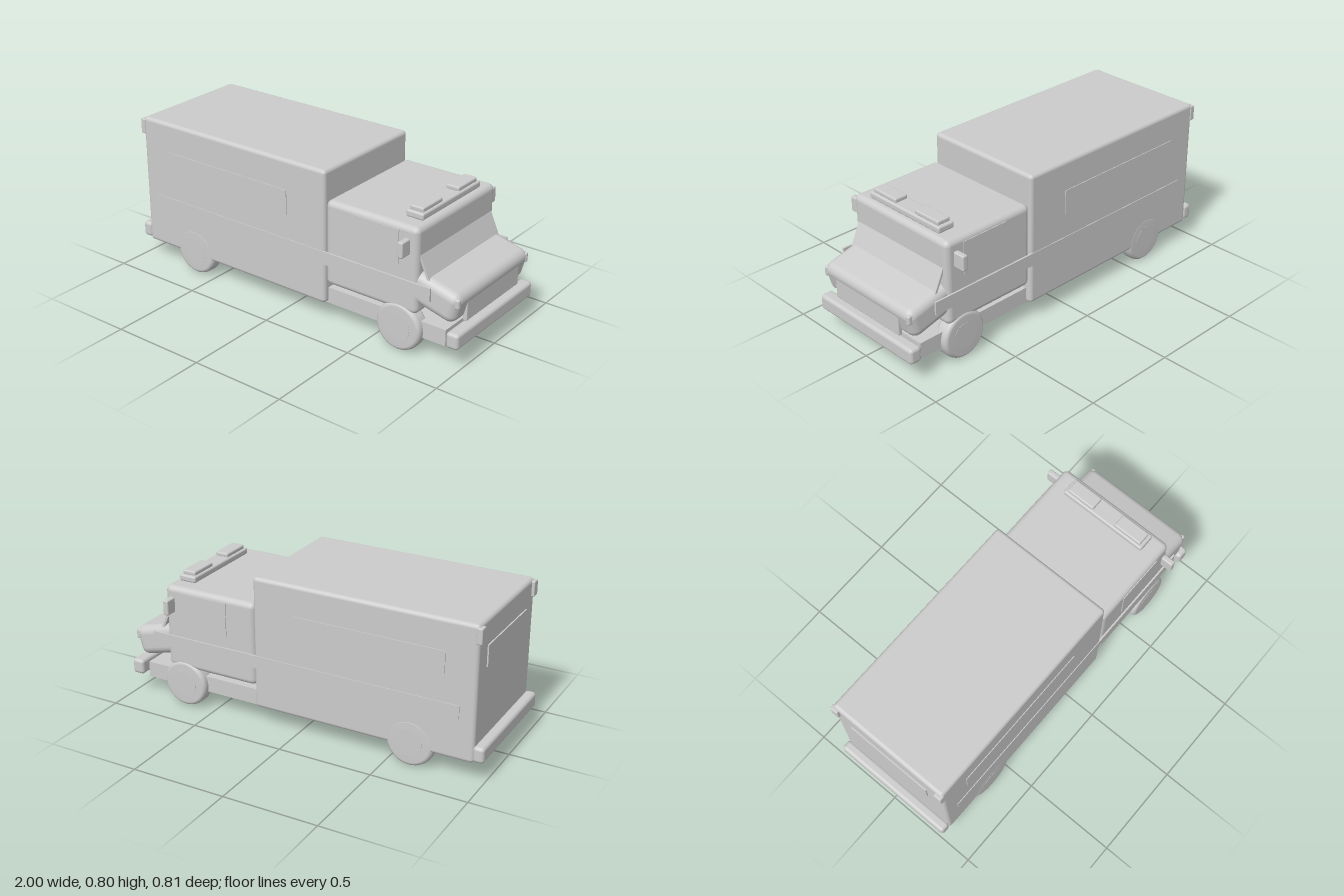
import * as THREE from 'three';
import { RoundedBoxGeometry } from 'three/addons/geometries/RoundedBoxGeometry.js';

export function createModel() {
  const truck = new THREE.Group();
  truck.name = 'boxTruck';
  const grey = new THREE.MeshStandardMaterial({ color: 0xcccccc });

  const add = (name, geometry, x = 0, y = 0, z = 0) => {
    const mesh = new THREE.Mesh(geometry, grey);
    mesh.name = name;
    mesh.position.set(x, y, z);
    truck.add(mesh);
    return mesh;
  };
  // Block given by its limits on each axis; r > 0 rounds the edges
  const block = (name, [x0, x1], [y0, y1], [z0, z1], r = 0) => {
    const size = [x1 - x0, y1 - y0, z1 - z0];
    const geometry = r ? new RoundedBoxGeometry(...size, 4, r) : new THREE.BoxGeometry(...size);
    return add(name, geometry, (x0 + x1) / 2, (y0 + y1) / 2, (z0 + z1) / 2);
  };

  // Main bodies
  block('chassis', [-0.9, 0.915], [0.095, 0.18], [-0.305, 0.305]);
  block('cargoBox', [-0.95, 0.237], [0.1, 0.802], [-0.338, 0.338], 0.02);
  block('cab', [0.237, 0.765], [0.21, 0.655], [-0.333, 0.333], 0.03);

  // Sloping hood and windshield
  const hood = add('hood', new RoundedBoxGeometry(0.3, 0.16, 0.642, 5, 0.045), 0.826, 0.326);
  hood.rotation.z = -0.25;
  const windshield = add('windshield', new THREE.BoxGeometry(0.012, 0.14, 0.61), 0.786, 0.455);
  windshield.rotation.z = 0.42;

  // Nose and bumpers
  block('grille', [0.955, 0.978], [0.215, 0.32], [-0.23, 0.23], 0.005);
  block('frontBumper', [0.933, 1], [0.11, 0.192], [-0.338, 0.338], 0.018);
  block('rearBumper', [-1, -0.943], [0.11, 0.192], [-0.338, 0.338], 0.018);

  // Roof light bar
  block('lightBar', [0.637, 0.733], [0.655, 0.69], [-0.247, 0.247], 0.01);

  // Rear door window
  block('rearWindow', [-0.957, -0.94], [0.56, 0.67], [-0.235, 0.235]);

  // Tyre cross-section: radius, then width position
  const tyreProfile = [
    [0, -0.042], [0.105, -0.042], [0.115, -0.038], [0.122, -0.03], [0.125, -0.02],
    [0.125, 0.02], [0.122, 0.03], [0.115, 0.038], [0.105, 0.042], [0, 0.042],
  ].map(([r, w]) => new THREE.Vector2(r, w));
  const tyre = new THREE.LatheGeometry(tyreProfile, 40).rotateX(Math.PI / 2);
  const hub = new THREE.CylinderGeometry(0.07, 0.07, 0.086, 32).rotateX(Math.PI / 2);

  // Parts repeated on both sides
  for (const [side, s] of [['left', 1], ['right', -1]]) {
    const span = (a, b) => (s > 0 ? [a, b] : [-b, -a]);
    for (const [axle, x] of [['Front', 0.667], ['Rear', -0.62]]) {
      add(`${side}${axle}Tyre`, tyre, x, 0.125, s * 0.298);
      add(`${side}${axle}Hub`, hub, x, 0.125, s * 0.298);
    }
    block(`${side}Stripe`, [-0.87, 0.845], [0.318, 0.386], span(0.332, 0.342));
    block(`${side}BoxPanel`, [-0.79, 0.005], [0.513, 0.645], span(0.33, 0.342));
    block(`${side}CabWindow`, [0.4, 0.663], [0.45, 0.628], span(0.325, 0.337));
    block(`${side}Mirror`, [0.7, 0.73], [0.523, 0.604], span(0.337, 0.404), 0.008);
    block(`${side}Headlight`, [0.95, 0.982], [0.305, 0.357], span(0.288, 0.312), 0.01);
    block(`${side}RoofLight`, [0.648, 0.722], [0.686, 0.711], span(0.068, 0.23), 0.008);
    block(`${side}RearMarker`, [-0.965, -0.935], [0.71, 0.79], span(0.297, 0.342), 0.006);
  }
  return truck;
}
